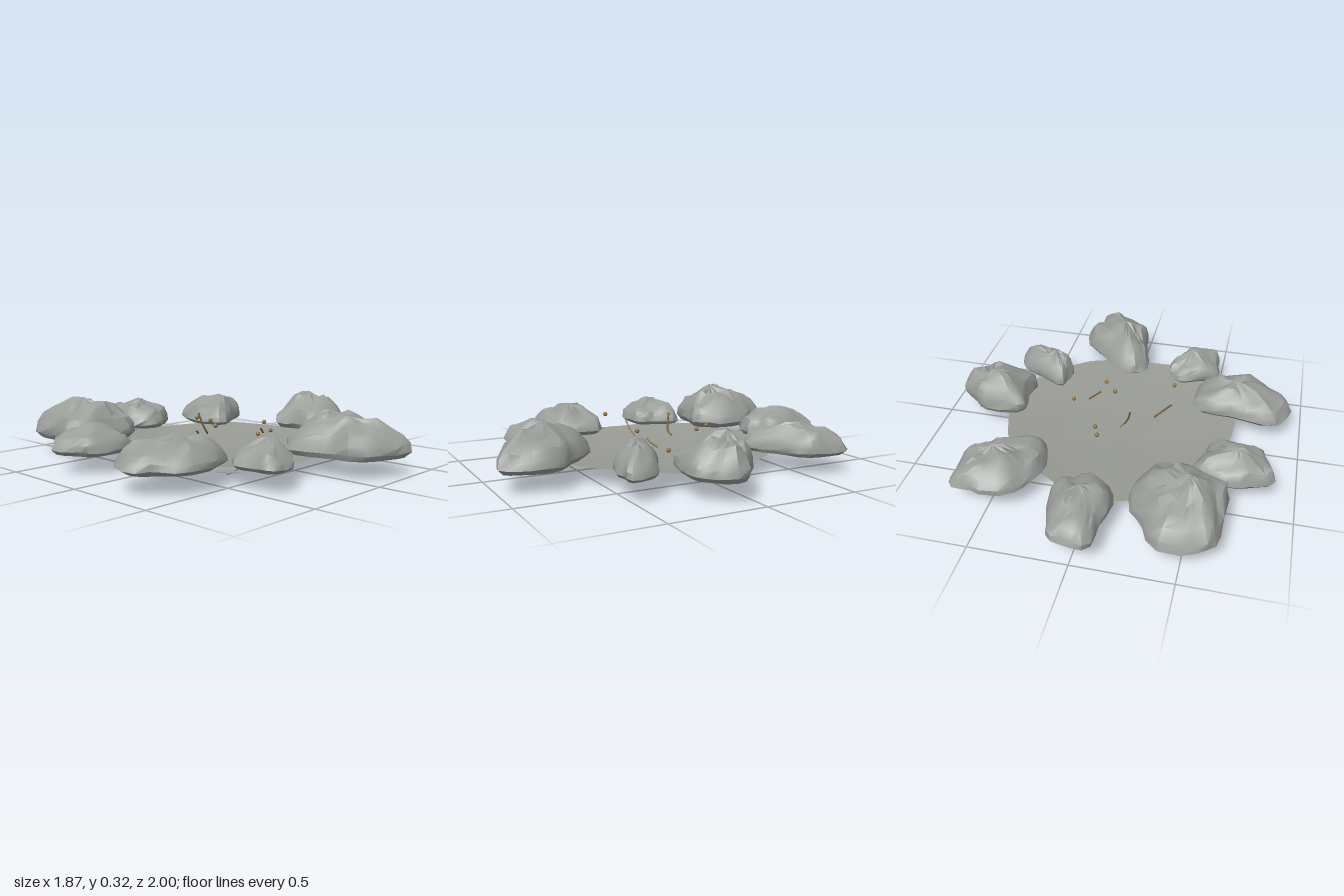
import * as THREE from 'three';
import { toCreasedNormals } from 'three/addons/utils/BufferGeometryUtils.js';

const mat = (name, color, side = THREE.FrontSide) => {
  const m = new THREE.MeshStandardMaterial({ color, side });
  m.name = name;
  return m;
};

// Small seeded random generator
function seeded(seed) {
  let s = seed;
  return () => (s = (s * 16807) % 2147483647) / 2147483647;
}

// Skin stacked rings of equal count (clockwise from above), closed by a top and an optional bottom point
function skin(rings, bottom, top) {
  const n = rings[0].length;
  const pos = rings.flat(2);
  const index = [];
  if (bottom) pos.push(...bottom);
  pos.push(...top);
  const topId = pos.length / 3 - 1, bottomId = topId - 1;
  for (let r = 0; r < rings.length; r++) {
    for (let i = 0; i < n; i++) {
      const j = (i + 1) % n, a = r * n + i, b = r * n + j;
      if (r === 0 && bottom) index.push(bottomId, a, b);
      if (r < rings.length - 1) index.push(a, a + n, b, b, a + n, b + n);
      else index.push(a, topId, b);
    }
  }
  const g = new THREE.BufferGeometry();
  g.setAttribute('position', new THREE.Float32BufferAttribute(pos, 3));
  g.setIndex(index);
  return g;
}

// Lobed, skewed oval with values from -1 to 1 on both axes
function rockOutline(n, skew, rand) {
  const p3 = rand() * 6.28, p5 = rand() * 6.28;
  const box = (v) => Math.sign(v) * Math.abs(v) ** 0.8;
  const pts = Array.from({ length: n }, (_, i) => {
    const t = (i / n) * Math.PI * 2;
    const r = 1 + 0.08 * Math.sin(3 * t + p3) + 0.07 * Math.sin(5 * t + p5);
    const x = r * box(Math.cos(t));
    return [x, r * box(Math.sin(t)) + skew * x];
  });
  const range = [0, 1].map((k) => {
    const v = pts.map((p) => p[k]);
    return [Math.min(...v), Math.max(...v)];
  });
  return pts.map((p) => p.map((v, k) => (2 * (v - range[k][0])) / (range[k][1] - range[k][0]) - 1));
}

// Boulder: the outline rises in rings to an off-centre peak, with broad lumps and small chips
function rockGeometry([cx, cz, hx, hz, skew, top, px, pz], seed) {
  const rand = seeded(seed * 7919 + 13);
  const base = 0.1, h = top - base;
  const edge = rockOutline(22, skew, rand);
  const phase = rand() * 6.28;
  const lump = (x, z) => Math.sin(27 * x + 9 * z + phase) * Math.cos(25 * z - 8 * x + phase * 2);
  const profile = [[0.88, 0], [1, 0.14], [0.97, 0.34], [0.85, 0.56], [0.67, 0.72], [0.45, 0.86], [0.22, 0.95]];
  const rings = profile.map(([scale, rise], r) => edge.map(([ex, ez]) => {
    const k = r > 1 ? scale * (1 + (rand() - 0.5) * 0.1) : scale;
    const shift = 1 - scale;
    const x = cx + hx * Math.max(-1, Math.min(1, ex * k + px * shift));
    const z = cz + hz * Math.max(-1, Math.min(1, ez * k + pz * shift));
    const fade = 0.4 + 0.6 * scale;
    const y = base + h * rise * (0.95 + 0.22 * fade * lump(x, z) + 0.1 * (rand() - 0.5));
    return [x, Math.min(y, top), z];
  }));
  return toCreasedNormals(skin(rings, [cx, base, cz], [cx + hx * px, top, cz + hz * pz]), 0.7);
}

// Shallow dish with a slightly uneven rim and floor
function basinGeometry() {
  const n = 30, rings = [];
  for (const k of [1, 0.85, 0.68, 0.5, 0.32, 0.15]) {
    rings.push(Array.from({ length: n }, (_, i) => {
      const a = (i / n) * Math.PI * 2;
      const r = k * (0.635 + 0.018 * Math.sin(3 * a + 1) + 0.012 * Math.sin(7 * a));
      const y = 0.058 + 0.036 * k * k + 0.005 * k * Math.sin(4 * a + 5 * k);
      return [r * Math.cos(a) - 0.015, y, r * Math.sin(a) + 0.015];
    }));
  }
  const g = skin(rings, null, [-0.015, 0.058, 0.015]);
  g.computeVertexNormals();
  return g;
}

// Boulders: centre x, centre z, half width, half depth, skew, top height, peak offset x and z
const ROCKS = [
  [-0.44, -0.67, 0.24, 0.27, 0.15, 0.33, -0.2, 0.2],
  [0.02, -0.77, 0.16, 0.23, 0, 0.26, 0, 0.2],
  [0.48, -0.535, 0.22, 0.225, -0.4, 0.26, 0.2, 0],
  [0.725, 0.085, 0.205, 0.175, 0.1, 0.31, 0, -0.25],
  [0.53, 0.385, 0.175, 0.145, 0.6, 0.26, -0.35, 0],
  [0.15, 0.72, 0.22, 0.28, 0.55, 0.3, -0.15, 0.1],
  [-0.35, 0.595, 0.15, 0.165, -0.3, 0.24, 0.2, 0],
  [-0.665, 0.305, 0.275, 0.195, 0.15, 0.26, 0.2, 0],
  [-0.68, -0.275, 0.21, 0.155, 0, 0.25, 0, 0],
];

export function createModel() {
  const model = new THREE.Group();
  model.name = 'rockPool';
  const stone = mat('stone grey', 0x9a9e99);
  const floor = mat('basin grey', 0x999b95, THREE.DoubleSide);
  const amber = mat('amber brown', 0x8f6f40);
  const twigBrown = mat('twig brown', 0x7a6236);
  const tan = mat('shell tan', 0xa58c5c);
  const add = (name, geometry, material, parent = model) => {
    const mesh = new THREE.Mesh(geometry, material);
    mesh.name = name;
    parent.add(mesh);
    return mesh;
  };
  const group = (name) => {
    const g = new THREE.Group();
    g.name = name;
    model.add(g);
    return g;
  };

  add('basin', basinGeometry(), floor);

  // Ring of boulders
  const rocks = group('rocks');
  ROCKS.forEach((rock, i) => add('rock', rockGeometry(rock, i + 1), stone, rocks));

  // Floating beads
  const beads = group('beads');
  const bead = new THREE.SphereGeometry(0.012, 10, 8);
  for (const p of [[0.05, 0.19, -0.26], [0.08, 0.18, -0.18], [0.28, 0.13, 0.105],
    [0.06, 0.15, 0.2], [0.11, 0.21, 0.2], [-0.28, 0.24, 0.21]]) {
    add('bead', bead, amber, beads).position.set(...p);
  }

  // Thin curved twigs
  const twigs = group('twigs');
  for (const path of [
    [[-0.29, 0.2, 0.08], [-0.24, 0.15, 0.075], [-0.195, 0.11, 0.06]],
    [[-0.095, 0.25, -0.1], [-0.08, 0.19, -0.085], [-0.06, 0.15, -0.078], [-0.035, 0.13, -0.09]],
    [[0.13, 0.17, 0.155], [0.165, 0.147, 0.14], [0.196, 0.13, 0.12]],
  ]) {
    const curve = new THREE.CatmullRomCurve3(path.map((p) => new THREE.Vector3(...p)));
    add('twig', new THREE.TubeGeometry(curve, 10, 0.005, 6), twigBrown, twigs);
  }

  // Tilted shell shards under the basin
  const shards = group('shards');
  const shardShape = new THREE.Shape([[-0.05, -0.03], [0.03, -0.027], [0.05, 0.01], [0.03, 0.03], [-0.045, 0.012]]
    .map(([x, y]) => new THREE.Vector2(x, y)));
  const shard = new THREE.ExtrudeGeometry(shardShape, { depth: 0.008, bevelEnabled: false });
  shard.translate(0, 0, -0.004);
  for (const [x, z, turn, tilt] of [[-0.17, 0, 0, -0.9], [0.035, -0.11, 2.36, 0.9], [0.14, 0.09, 1.57, 0.95]]) {
    const s = add('shard', shard, tan, shards);
    s.position.set(x, 0.031, z);
    s.rotation.set(tilt, turn, 0.08, 'YXZ');
  }

  // Flat stars under the basin
  const stars = group('stars');
  const starShape = new THREE.Shape(Array.from({ length: 10 }, (_, i) => {
    const r = i % 2 ? 0.025 : 0.06, a = (i * Math.PI) / 5;
    return new THREE.Vector2(r * Math.cos(a), r * Math.sin(a));
  }));
  const star = new THREE.ExtrudeGeometry(starShape, { depth: 0.006, bevelEnabled: false });
  star.rotateX(-Math.PI / 2);
  [[-0.34, 0.36, 1], [-0.47, -0.17, 0.75], [-0.33, -0.38, 1]].forEach(([x, z, size], i) => {
    const s = add('star', star, stone, stars);
    s.position.set(x, 0.032, z);
    s.rotation.y = i * 0.5;
    s.scale.set(size, 1, size);
  });

  return model;
}
